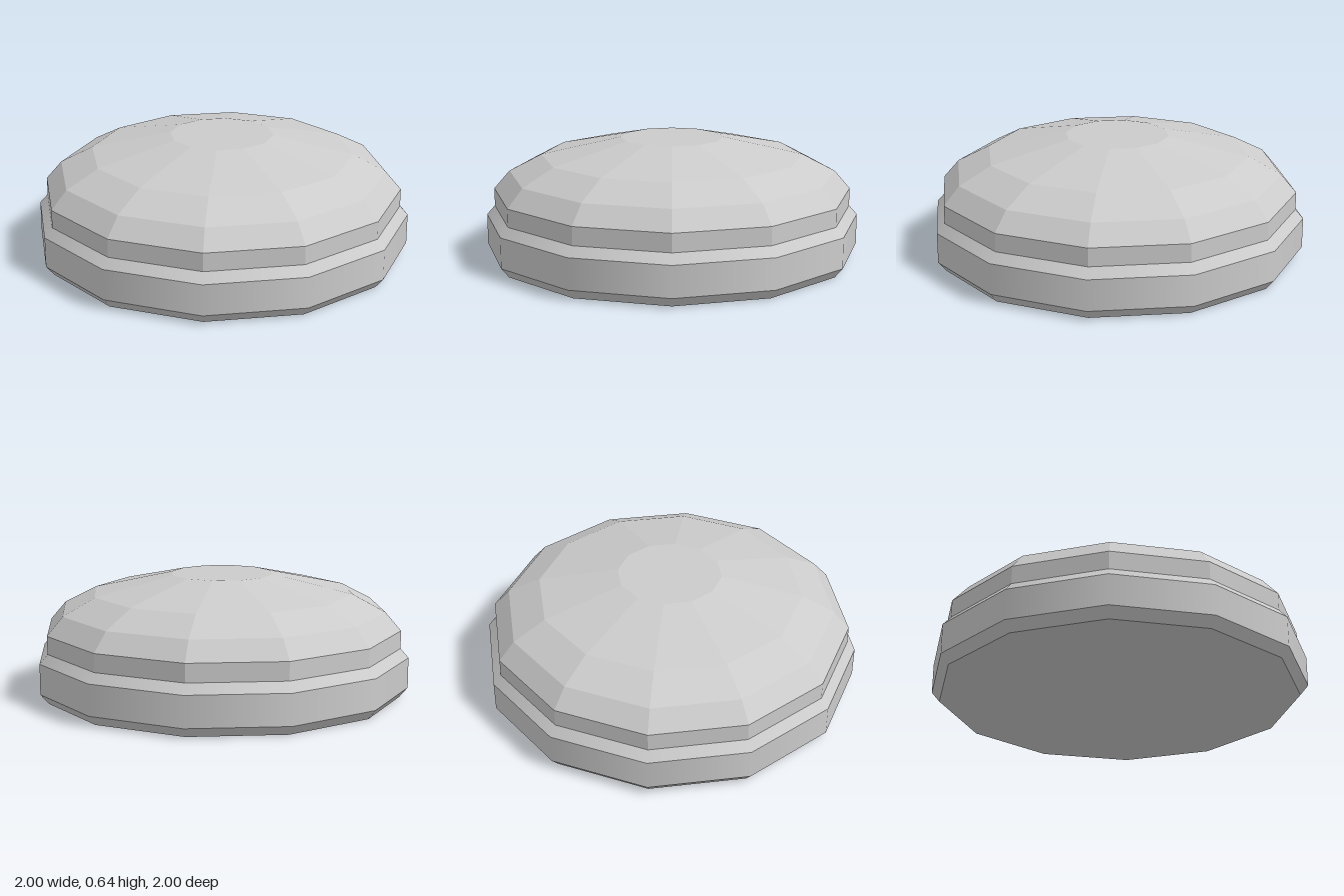
import * as THREE from 'three';
import { mergeGeometries } from 'three/addons/utils/BufferGeometryUtils.js';

const SIDES = 12;

// Stacks frustum bands through [radius, height] rings, keeping hard edges between bands
function stack(rings) {
  const bands = [];
  for (let i = 0; i < rings.length - 1; i++) {
    const [r0, y0] = rings[i];
    const [r1, y1] = rings[i + 1];
    const band = new THREE.CylinderGeometry(r1, r0, y1 - y0, SIDES, 1, true);
    bands.push(band.translate(0, (y0 + y1) / 2, 0));
  }
  return bands;
}

// Flat twelve-sided disc facing up (1) or down (-1), corners on the axes
function disc(radius, y, facing) {
  return new THREE.CircleGeometry(radius, SIDES).rotateX(-facing * Math.PI / 2).translate(0, y, 0);
}

export function createModel() {
  const group = new THREE.Group();
  group.name = 'domedButton';

  const add = (name, parts, flatShading) => {
    const material = new THREE.MeshStandardMaterial({ color: 0xcccccc, flatShading });
    const mesh = new THREE.Mesh(mergeGeometries(parts), material);
    mesh.name = name;
    group.add(mesh);
  };

  // Bevelled base ring, smooth around its circumference
  add('base', [
    ...stack([[0.957, 0], [1, 0.052], [1, 0.214], [0.957, 0.263]]),
    disc(0.957, 0, -1),
  ], false);

  // Faceted dome with an upright rim and a small flat crown
  add('dome', [
    ...stack([[0.957, 0.263], [0.957, 0.358], [0.873, 0.455], [0.7, 0.545], [0.275, 0.64]]),
    disc(0.275, 0.64, 1),
  ], true);

  return group;
}
